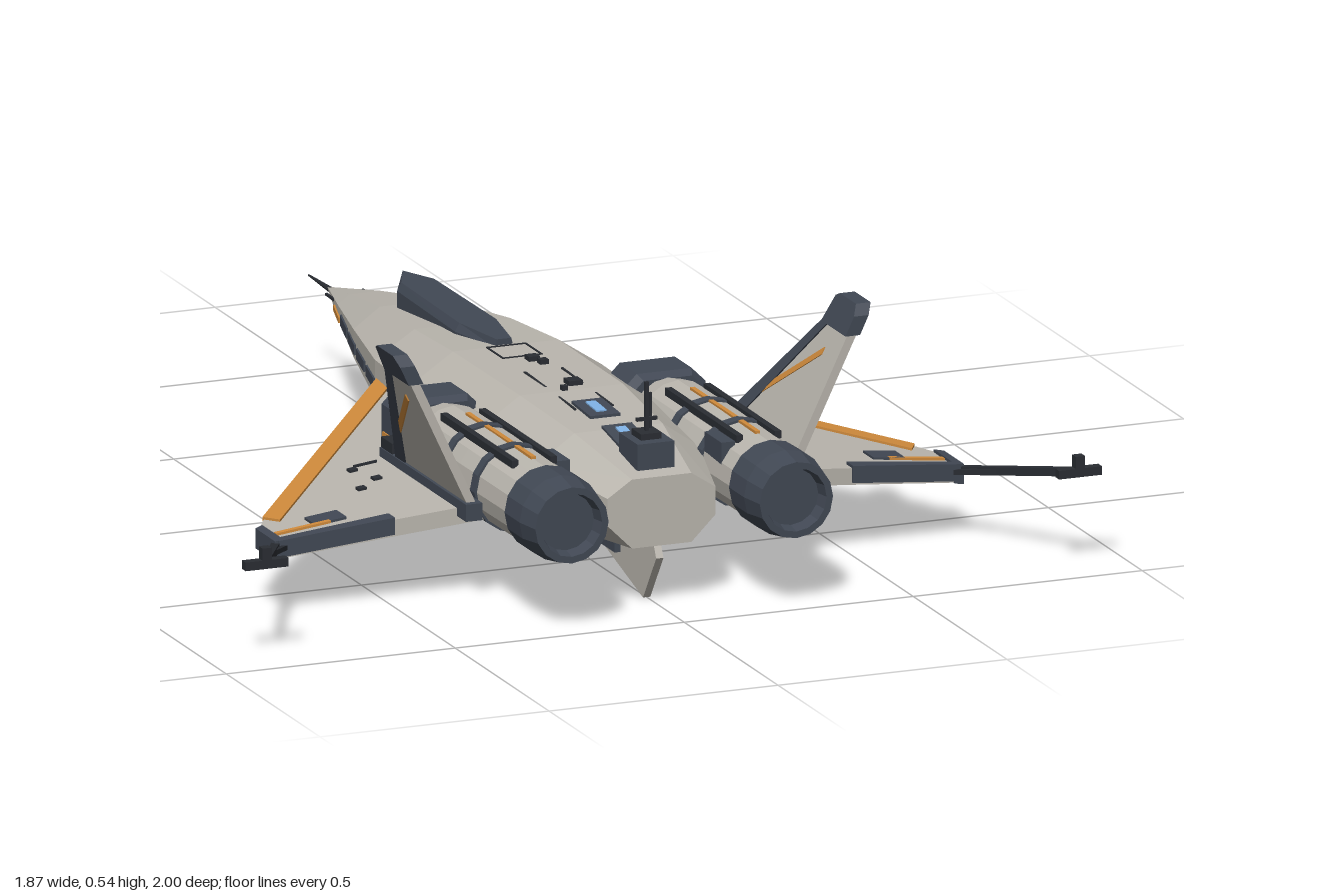
import * as THREE from 'three';

const paint = (name, color) => {
  const m = new THREE.MeshStandardMaterial({ color, flatShading: true });
  m.name = name;
  return m;
};

// Skin between rings of [x, y, z], counter-clockwise seen from the last ring's side
function loft(rings) {
  const pos = [], n = rings[0].length;
  const tri = (...p) => p.forEach((v) => pos.push(...v));
  for (let i = 0; i < rings.length - 1; i++) {
    for (let j = 0; j < n; j++) {
      const k = (j + 1) % n, [r, s] = [rings[i], rings[i + 1]];
      tri(r[j], r[k], s[j]);
      tri(r[k], s[k], s[j]);
    }
  }
  const first = rings[0], last = rings[rings.length - 1];
  for (let j = 1; j < n - 1; j++) {
    tri(first[0], first[j + 1], first[j]);
    tri(last[0], last[j], last[j + 1]);
  }
  const g = new THREE.BufferGeometry();
  g.setAttribute('position', new THREE.Float32BufferAttribute(pos, 3));
  g.computeVertexNormals();
  return g;
}

const box = (x, y, z, w, h, d) => new THREE.BoxGeometry(w, h, d).translate(x, y, z);

// Square bar between two points
function beam(a, b, t) {
  const o = new THREE.Object3D(), A = new THREE.Vector3(...a), B = new THREE.Vector3(...b);
  o.position.copy(A);
  o.lookAt(B);
  o.updateMatrix();
  const len = A.distanceTo(B);
  return new THREE.BoxGeometry(t, t, len).translate(0, 0, len / 2).applyMatrix4(o.matrix);
}

// Round body along z from [radius, z] points
const turned = (x, y, pts) =>
  new THREE.LatheGeometry(pts.map((p) => new THREE.Vector2(...p)), 16).rotateX(Math.PI / 2).translate(x, y, 0);

// Fuselage stations: z, half width, top, bottom
const stations = [
  [-0.89, 0.004, 0.204, 0.196], [-0.7, 0.06, 0.243, 0.177], [-0.45, 0.128, 0.287, 0.147],
  [-0.18, 0.192, 0.315, 0.12], [0.05, 0.21, 0.33, 0.108], [0.4, 0.205, 0.33, 0.108],
  [0.65, 0.175, 0.315, 0.113], [0.88, 0.118, 0.275, 0.13],
];
function at(z, col) {
  let i = 0;
  while (i < stations.length - 2 && stations[i + 1][0] < z) i++;
  const [a, b] = [stations[i], stations[i + 1]];
  return a[col] + (b[col] - a[col]) * (z - a[0]) / (b[0] - a[0]);
}
const rect = (x0, x1, y0, y1, z) => [[x0, y0, z], [x1, y0, z], [x1, y1, z], [x0, y1, z]];
// Plates that follow the deck (col 2), the belly (col 3) or the flank
const skinPlate = (col, x0, x1, z0, z1, h = 0.004) =>
  loft([z0, z1].map((z) => rect(x0, x1, at(z, col) - h, at(z, col) + h, z)));
const flankPlate = (y0, y1, z0, z1) =>
  loft([z0, z1].map((z) => rect(at(z, 1) - 0.004, at(z, 1) + 0.004, y0, y1, z)));

// Wing top height falls towards the tip
const wingY = (x) => 0.242 - 0.117 * x;
const wingPlate = (pts, lo, hi) => loft([lo, hi].map((d) => pts.map(([x, z]) => [x, wingY(x) + d, z])));
const wingRect = (x0, x1, z0, z1) => wingPlate([[x0, z0], [x0, z1], [x1, z1], [x1, z0]], -0.003, 0.005);

// Canted tail fin plates from [z, y] points
const finX = (y) => 0.345 + (y - 0.2) * 0.47;
const finPlate = (pts, t) => loft([-t, t].map((d) => pts.map(([z, y]) => [finX(y) + d, y, z])));

export function createModel() {
  const hull = paint('hull grey', 0xbab6ae);
  const dark = paint('slate', 0x414854);
  const black = paint('charcoal', 0x2a2d33);
  const orange = paint('orange trim', 0xd08b3c);
  const blue = paint('light blue', 0x7fb2e5);

  const model = new THREE.Group();
  model.name = 'spacecraft';
  const add = (name, geo, mat) => {
    const m = new THREE.Mesh(geo, mat);
    m.name = name;
    model.add(m);
  };
  // Adds a +x part and its mirror image with corrected winding
  const pair = (name, geo, mat) => {
    add(name + 'Left', geo, mat);
    const g = geo.index ? geo.toNonIndexed() : geo.clone();
    const p = g.attributes.position, a = new THREE.Vector3(), b = new THREE.Vector3();
    g.scale(-1, 1, 1);
    for (let i = 0; i < p.count; i += 3) {
      a.fromBufferAttribute(p, i + 1);
      b.fromBufferAttribute(p, i + 2);
      p.setXYZ(i + 1, b.x, b.y, b.z);
      p.setXYZ(i + 2, a.x, a.y, a.z);
    }
    g.computeVertexNormals();
    add(name + 'Right', g, mat);
  };

  // Fuselage with an eight-sided section
  add('fuselage', loft(stations.map(([z, w, t, b]) => {
    const mid = 0.205, u = mid + 0.5 * (t - mid), l = mid - 0.3 * (mid - b), f = 0.55 * w;
    return [[-f, b], [f, b], [w, l], [w, u], [f, t], [-f, t], [-w, u], [-w, l]].map(([x, y]) => [x, y, z]);
  })), hull);
  add('noseProbe', new THREE.CylinderGeometry(0.002, 0.007, 0.14, 8).rotateX(-Math.PI / 2).translate(0, 0.2, -0.93), black);
  pair('noseWhisker', beam([0.036, 0.21, -0.72], [0.04, 0.215, -0.81], 0.005), black);

  // Canopy
  const canopy = [[0, -0.5], [-0.045, -0.42], [-0.05, -0.1], [-0.02, 0.04], [0.02, 0.04], [0.05, -0.1], [0.045, -0.42]];
  add('canopy', loft([[0.27, 1], [0.325, 1], [0.342, 0.8]].map(([y, s]) => canopy.map(([x, z]) => [x * s, y, z]))), dark);

  // Flank windows, lights and nose trim
  for (let i = 0; i < 5; i++) pair('flankPanel', flankPlate(0.2, 0.222, -0.155 - i * 0.12, -0.06 - i * 0.12), dark);
  pair('noseTrim', flankPlate(0.197, 0.209, -0.75, -0.66), orange);
  for (let i = 0; i < 5; i++) pair('flankLight', flankPlate(0.21, 0.222, i * 0.04 - 0.02, i * 0.04), blue);

  // Deck details
  for (const z of [0.48, 0.64]) {
    add('deckHatch', skinPlate(2, -0.033, 0.033, z, z + 0.1, 0.006), dark);
    add('deckLight', skinPlate(2, -0.011, 0.011, z + 0.02, z + 0.08, 0.009), blue);
  }
  for (const [x, z, s] of [[0.01, 0.155, 0.024], [0.02, 0.19, 0.018], [0.02, 0.345, 0.03], [-0.015, 0.39, 0.012]])
    add('deckFitting', skinPlate(2, x - s / 2, x + s / 2, z, z + s, 0.01), black);
  for (const z of [0.05, 0.135]) add('panelLine', skinPlate(2, -0.042, 0.042, z, z + 0.004, 0.002), black);
  pair('panelLineSide', skinPlate(2, 0.04, 0.044, 0.05, 0.139, 0.002), black);
  pair('spineLine', skinPlate(2, 0.038, 0.043, 0.25, 0.52, 0.003), black);
  add('mastBase', box(0, 0.31, 0.8, 0.08, 0.055, 0.1), dark);
  add('mastCap', box(0, 0.343, 0.8, 0.045, 0.015, 0.05), black);
  add('mast', box(0, 0.395, 0.8, 0.008, 0.115, 0.008), black);
  add('mastShort', box(0.014, 0.38, 0.785, 0.006, 0.09, 0.006), black);
  add('mastBar', box(0, 0.375, 0.8, 0.045, 0.007, 0.007), black);

  // Belly panels, keel pod and keel fin
  for (const [w, z0, z1] of [[0.055, -0.52, -0.33], [0.06, -0.2, -0.07], [0.06, 0, 0.13]])
    add('bellyPanel', skinPlate(3, -w, w, z0, z1), dark);
  add('keelPod', box(0, 0.087, 0.5, 0.042, 0.046, 0.36), dark);
  const keel = [[0.87, 0.1], [0.8, 0], [0.54, 0.07], [0.56, 0.13], [0.85, 0.14]];
  add('keelFin', loft([-0.008, 0.008].map((x) => keel.map(([z, y]) => [x, y, z]))), hull);

  // Wings
  pair('wing', wingPlate([[0.15, -0.2], [0.15, 0.72], [0.5, 0.675], [0.735, 0.65], [0.745, 0.55], [0.715, 0.5]], -0.035, 0), hull);
  pair('wingLeadingEdge', wingPlate([[0.185, -0.18], [0.185, -0.115], [0.69, 0.53], [0.712, 0.49]], -0.02, 0.005), orange);
  pair('wingTrailingEdge', wingPlate([[0.5, 0.645], [0.5, 0.68], [0.745, 0.658], [0.745, 0.635]], -0.03, 0.006), dark);
  pair('wingTip', wingPlate([[0.733, 0.54], [0.733, 0.655], [0.752, 0.655], [0.752, 0.55]], -0.036, 0.006), dark);
  pair('wingHatch', wingRect(0.575, 0.645, 0.55, 0.605), dark);
  pair('wingStripe', wingRect(0.61, 0.73, 0.595, 0.607), orange);
  for (const [x, z] of [[0.45, 0.33], [0.43, 0.41], [0.48, 0.45]])
    pair('wingFitting', wingRect(x - 0.009, x + 0.009, z - 0.009, z + 0.009), black);
  pair('wingLine', wingRect(0.39, 0.44, 0.31, 0.314), black);

  // Wingtip booms
  pair('boom', beam([0.735, 0.14, 0.62], [0.888, 0.203, 0.935], 0.017), black);
  pair('boomBrace', beam([0.73, 0.145, 0.655], [0.81, 0.17, 0.77], 0.01), black);
  pair('boomCrossbar', box(0.888, 0.203, 0.935, 0.094, 0.018, 0.02), black);
  pair('boomSensor', box(0.888, 0.22, 0.935, 0.02, 0.035, 0.02), black);

  // Engines
  const ex = 0.245, ey = 0.23;
  pair('nacelle', turned(ex, ey, [[0, 0.28], [0.072, 0.29], [0.086, 0.37], [0.088, 0.6], [0.085, 0.87]]), hull);
  pair('nozzle', turned(ex, ey, [[0.07, 0.84], [0.09, 0.86], [0.09, 0.94], [0.08, 1], [0.066, 1], [0.06, 0.97], [0, 0.97]]), dark);
  for (const z of [0.52, 0.68])
    pair('nacelleBand', turned(ex, ey, [[0.08, z], [0.092, z], [0.092, z + 0.025], [0.08, z + 0.025]]), dark);
  for (const s of [-1, 1]) pair('nacelleRail', box(ex + s * 0.042, ey + 0.08, 0.61, 0.014, 0.016, 0.38), black);
  pair('nacelleStripe', box(ex, ey + 0.087, 0.62, 0.01, 0.008, 0.35), orange);
  pair('nacelleBox', box(0.18, 0.28, 0.75, 0.03, 0.05, 0.09), dark);

  // Intakes with slats
  const intake = [[-0.06, -1], [0.06, -1], [0.09, -0.65], [0.09, 0.65], [0.06, 1], [-0.06, 1], [-0.09, 0.65], [-0.09, -0.65]];
  pair('intake', loft([[0.19, 0.9], [0.205, 1], [0.295, 1], [0.315, 0.88]].map(([z, s]) =>
    intake.map(([x, y]) => [ex + x * s, ey + y * 0.085 * s, z]))), dark);
  for (let i = -2; i <= 2; i++) pair('intakeSlat', box(ex + i * 0.026, ey, 0.189, 0.011, 0.085, 0.008), blue);
  pair('intakeStripe', box(0.335, 0.225, 0.25, 0.006, 0.01, 0.07), orange);

  // Tail fins
  pair('finRail', box(0.352, 0.2, 0.51, 0.036, 0.036, 0.46), dark);
  pair('finRailFoot', box(0.345, 0.215, 0.31, 0.045, 0.05, 0.06), black);
  pair('tailFin', finPlate([[0.725, 0.2], [0.37, 0.2], [0.61, 0.48], [0.73, 0.48]], 0.01), hull);
  pair('finLeadingEdge', finPlate([[0.39, 0.2], [0.34, 0.2], [0.6, 0.48], [0.63, 0.48]], 0.014), dark);
  pair('finTip', finPlate([[0.735, 0.48], [0.605, 0.48], [0.62, 0.535], [0.635, 0.542], [0.72, 0.542], [0.735, 0.52]], 0.016), dark);
  pair('finStripe', finPlate([[0.66, 0.425], [0.48, 0.305], [0.48, 0.32], [0.66, 0.44]], 0.013), orange);
  return model;
}
